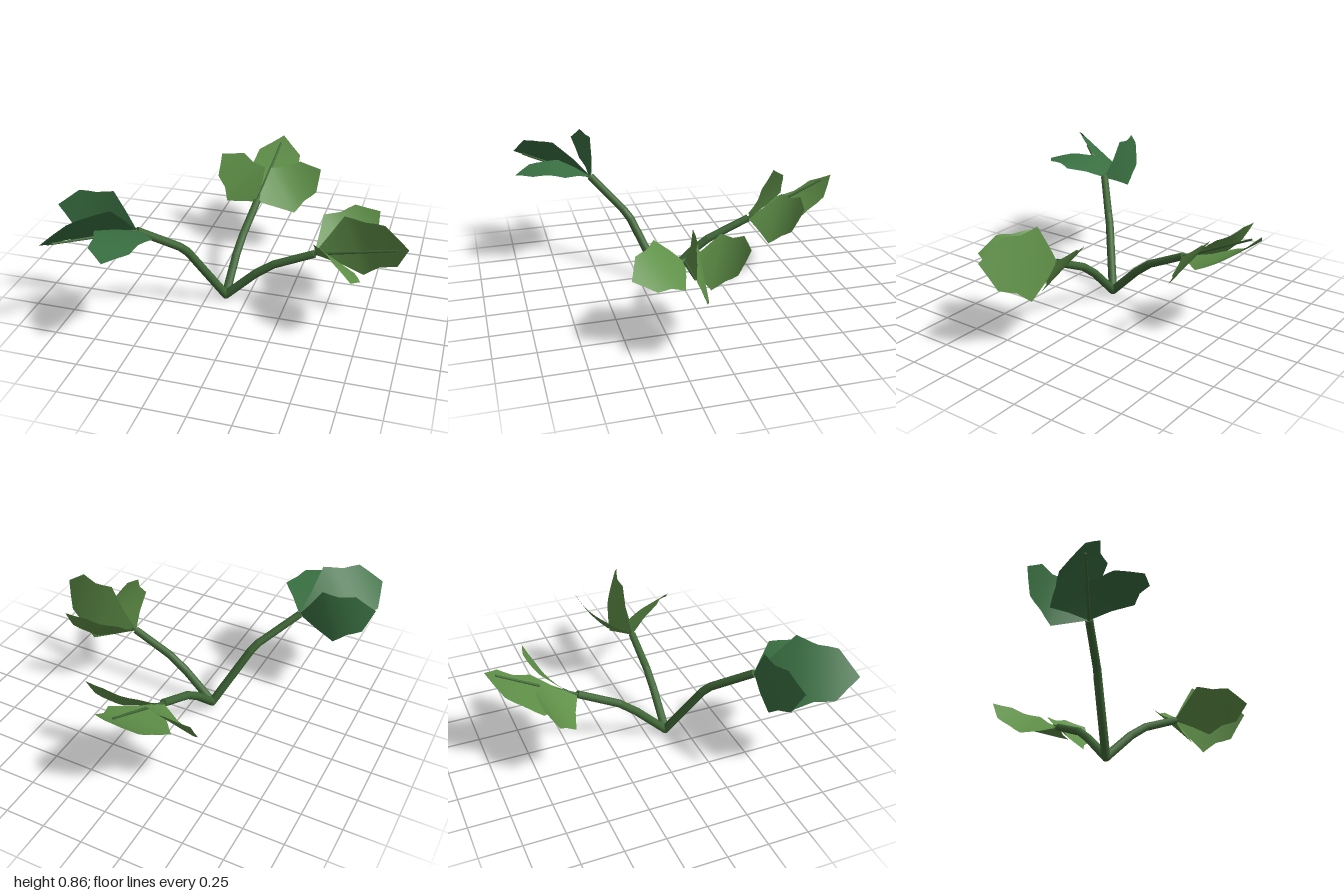
import * as THREE from 'three';

const V = (a) => new THREE.Vector3(...a);
const mat = (color, side = THREE.FrontSide) => new THREE.MeshStandardMaterial({ color, side });

// Half outline of every leaflet: [fraction of length, half width / length]
const OUTLINE = [[0, 0.008], [0.2, 0.18], [0.4, 0.365], [0.5, 0.32], [0.6, 0.275], [0.7, 0.265], [0.8, 0.25], [0.9, 0.125], [1, 0]];
const SAG = 0.11;

// Each sprig: stem points, leaf colour, leaflets as [name, tip, across direction]
const BASE = [-0.13, 0.025, 0.12];
const SPRIGS = [
  {
    name: 'leftSprig', color: 0x5f9048,
    stem: [BASE, [0.065, 0.215, 0.12], [0.18, 0.3, 0.12], [0.43, 0.415, 0.12]],
    leaves: [
      ['middleLeaflet', [0.99, 0.58, 0.21], [0.13, -0.4, -0.05]],
      ['frontLeaflet', [0.71, 0.48, 0.49], [0.26, -0.24, -0.11]],
      ['backLeaflet', [0.77, 0.61, -0.16], [0.23, -0.24, 0.14]],
    ],
  },
  {
    name: 'backSprig', color: 0x5f9048,
    stem: [BASE, [-0.117, 0.21, -0.07], [-0.105, 0.295, -0.18], [-0.08, 0.42, -0.44]],
    leaves: [
      ['middleLeaflet', [-0.03, 0.68, -0.97], [1, 0, 0.1]],
      ['rightLeaflet', [-0.41, 0.6, -0.73], [0.25, 0.22, -0.12]],
      ['leftLeaflet', [0.3, 0.6, -0.66], [0.23, -0.23, 0.14]],
    ],
  },
  {
    name: 'frontSprig', color: 0x3a7042,
    stem: [BASE, [-0.315, 0.4, 0.28], [-0.35, 0.45, 0.315], [-0.545, 0.625, 0.49]],
    leaves: [
      ['middleLeaflet', [-0.92, 0.72, 0.945], [0.27, 0.3, 0.14]],
      ['leftLeaflet', [-0.55, 0.68, 0.97], [1, 0, 0]],
      ['rightLeaflet', [-1.0, 0.76, 0.545], [0.1, 0.33, 0]],
    ],
  },
];

// Round bar between two points
function bar(a, b, rA, rB, material, name) {
  const d = b.clone().sub(a);
  const mesh = new THREE.Mesh(new THREE.CylinderGeometry(rB, rA, d.length(), 10), material);
  mesh.position.copy(a).addScaledVector(d, 0.5);
  mesh.quaternion.setFromUnitVectors(new THREE.Vector3(0, 1, 0), d.normalize());
  mesh.name = name;
  return mesh;
}

// Lobed leaflet swept from base to tip, bowed along its length
function leaflet(base, tip, across) {
  const dir = tip.clone().sub(base);
  const len = dir.length();
  dir.divideScalar(len);
  const side = across.clone().addScaledVector(dir, -across.dot(dir)).normalize();
  const normal = dir.clone().cross(side);
  const pos = [], idx = [];
  OUTLINE.forEach(([t, w], i) => {
    for (const s of [-1, 0, 1]) {
      const p = base.clone()
        .addScaledVector(dir, t * len)
        .addScaledVector(side, s * w * len)
        .addScaledVector(normal, SAG * len * 4 * t * (1 - t));
      pos.push(p.x, p.y, p.z);
    }
    if (i === 0) return;
    for (const c of [0, 1]) {
      const a = (i - 1) * 3 + c, b = a + 3;
      idx.push(a, b, a + 1, b, b + 1, a + 1);
    }
  });
  const geo = new THREE.BufferGeometry();
  geo.setAttribute('position', new THREE.Float32BufferAttribute(pos, 3));
  geo.setIndex(idx);
  geo.computeVertexNormals();
  return geo;
}

export function createModel() {
  const model = new THREE.Group();
  model.name = 'threeLeafPlant';
  const stemMat = mat(0x3f6636);

  for (const sprig of SPRIGS) {
    const group = new THREE.Group();
    group.name = sprig.name;
    const pts = sprig.stem.map(V);

    // Stem with rounded bends
    const radius = (i) => 0.027 - 0.001 * i;
    for (let i = 0; i < pts.length - 1; i++) {
      group.add(bar(pts[i], pts[i + 1], radius(i), radius(i + 1), stemMat, 'stem'));
      const joint = new THREE.Mesh(new THREE.SphereGeometry(radius(i), 10, 8), stemMat);
      joint.position.copy(pts[i]);
      joint.name = 'stemBend';
      group.add(joint);
    }

    // Three leaflets from the stem end
    const end = pts[pts.length - 1];
    const leafMat = mat(sprig.color, THREE.DoubleSide);
    for (const [name, tip, across] of sprig.leaves) {
      const leaf = new THREE.Mesh(leaflet(end, V(tip), V(across)), leafMat);
      leaf.name = name;
      group.add(leaf);
    }

    // Thin straight rib behind the middle leaflet
    const ribEnd = end.clone().lerp(V(sprig.leaves[0][1]), 0.88);
    group.add(bar(end, ribEnd, 0.01, 0.006, stemMat, 'middleRib'));
    model.add(group);
  }
  return model;
}
